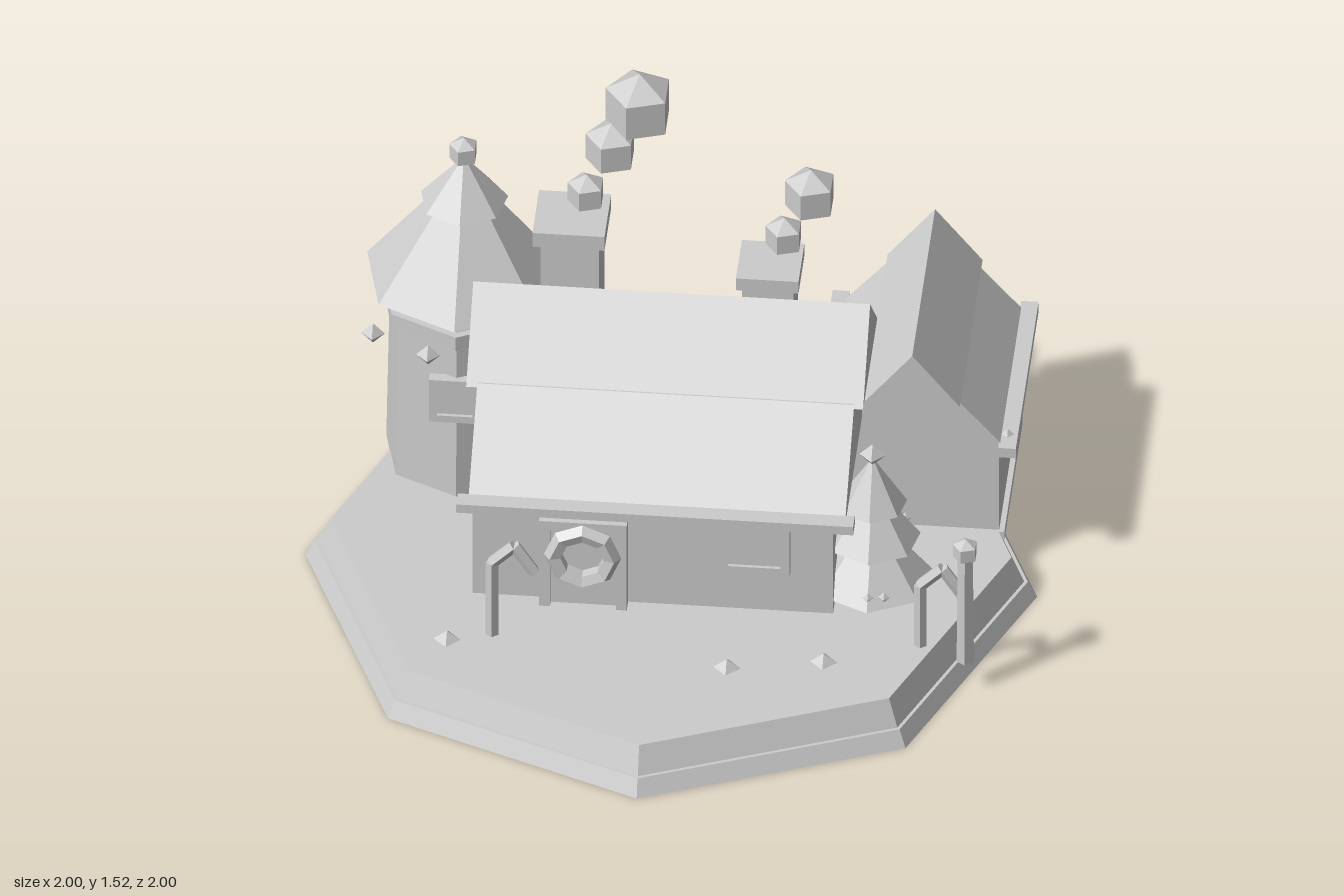
import * as THREE from 'three';

export function createModel() {
  const model = new THREE.Group();
  const clay = new THREE.MeshStandardMaterial({ color: 0xcccccc, flatShading: true });
  clay.name = 'light grey';

  const add = (name, geometry, x = 0, y = 0, z = 0) => {
    const mesh = new THREE.Mesh(geometry, clay);
    mesh.name = name;
    mesh.position.set(x, y, z);
    model.add(mesh);
    return mesh;
  };
  // Box from its lowest to its highest corner
  const box = (name, x0, x1, y0, y1, z0, z1) =>
    add(name, new THREE.BoxGeometry(x1 - x0, y1 - y0, z1 - z0), (x0 + x1) / 2, (y0 + y1) / 2, (z0 + z1) / 2);
  // Upright frustum from y0 to y1
  const frustum = (name, x, z, y0, y1, rBottom, rTop, sides) =>
    add(name, new THREE.CylinderGeometry(rTop, rBottom, y1 - y0, sides), x, (y0 + y1) / 2, z);
  const ball = (name, x, y, z, r) => add(name, new THREE.SphereGeometry(r, 5, 3), x, y, z);
  const bulb = (name, x, y, z, r = 0.033) => add(name, new THREE.SphereGeometry(r, 4, 2), x, y, z);
  // Symmetric roof section of [half width, height] points, extruded along its ridge
  const roof = (name, half, from, to, centre, alongX) => {
    const outline = [...half, ...half.filter(p => p[0] > 0).reverse().map(([w, h]) => [-w, h])];
    const shape = new THREE.Shape(outline.map(p => new THREE.Vector2(...p)));
    const geo = new THREE.ExtrudeGeometry(shape, { depth: to - from, bevelEnabled: false });
    if (alongX) geo.rotateY(Math.PI / 2);
    return add(name, geo, alongX ? from : centre, 0, alongX ? centre : from);
  };
  // Straight rod between two points
  const rod = (name, a, b, r) => {
    const p = new THREE.Vector3(...a), q = new THREE.Vector3(...b);
    const mesh = add(name, new THREE.CylinderGeometry(r, r, p.distanceTo(q), 5));
    mesh.position.copy(p).lerp(q, 0.5);
    mesh.quaternion.setFromUnitVectors(new THREE.Vector3(0, 1, 0), q.sub(p).normalize());
  };

  // Octagonal ground
  frustum('groundLower', 0, 0, 0, 0.05, 1, 0.975, 8);
  frustum('groundUpper', 0, 0, 0.05, 0.13, 0.965, 0.93, 8);

  // Main house
  box('houseWalls', -0.515, 0.47, 0.12, 0.54, -0.375, 0.295);
  roof('houseRoofLower', [[0.45, 0.53], [0.45, 0.55], [0.2, 0.745]], -0.515, 0.515, -0.04, true);
  roof('houseRoofUpper', [[0.205, 0.735], [0, 0.94]], -0.545, 0.54, -0.04, true);
  box('frontEave', -0.545, 0.54, 0.525, 0.553, 0.405, 0.455);
  box('backEave', -0.545, 0.505, 0.525, 0.553, -0.54, -0.485);

  // Side annex with its ridge running front to back
  box('annexFloor', 0.41, 0.9, 0.1, 0.13, -0.64, -0.11);
  box('annexWalls', 0.43, 0.885, 0.12, 0.45, -0.63, -0.12);
  roof('annexRoofLower', [[0.24, 0.45], [0.24, 0.47], [0.12, 0.61]], -0.67, -0.065, 0.655, false);
  roof('annexRoofUpper', [[0.13, 0.605], [0, 0.77]], -0.7, -0.04, 0.655, false);
  for (const x of [0.375, 0.89]) box('annexEave', x, x + 0.048, 0.44, 0.472, -0.7, -0.04);

  // Chimneys with capstones
  box('chimneyLeft', -0.37, -0.21, 0.6, 1.02, -0.29, -0.13);
  box('chimneyLeftCap', -0.39, -0.193, 1.015, 1.062, -0.305, -0.112);
  box('chimneyRight', 0.185, 0.325, 0.6, 0.94, -0.228, -0.09);
  box('chimneyRightCap', 0.17, 0.341, 0.937, 0.977, -0.245, -0.072);

  // Smoke puffs
  for (const p of [
    [-0.25, 1.145, -0.2, 0.06], [-0.185, 1.285, -0.225, 0.082], [-0.11, 1.415, -0.25, 0.107],
    [0.295, 1.07, -0.155, 0.06], [0.365, 1.2, -0.178, 0.082],
  ]) ball('smokePuff', ...p);

  // Seven-sided tower
  frustum('towerWall', -0.6, -0.35, 0.12, 0.74, 0.222, 0.21, 7);
  frustum('towerRing', -0.6, -0.35, 0.64, 0.685, 0.235, 0.235, 7);
  frustum('towerRoofLower', -0.6, -0.35, 0.735, 1.0, 0.277, 0.075, 7);
  frustum('towerRoofUpper', -0.6, -0.35, 0.98, 1.11, 0.122, 0.015, 7);
  ball('towerFinial', -0.6, 1.145, -0.35, 0.046);

  // Door between jambs
  box('door', -0.3, -0.12, 0.13, 0.4, 0.28, 0.315);
  for (const x of [-0.33, -0.12]) box('doorJamb', x, x + 0.03, 0.13, 0.42, 0.28, 0.335);
  box('doorLintel', -0.33, -0.09, 0.39, 0.42, 0.28, 0.335);
  add('wreath', new THREE.TorusGeometry(0.08, 0.026, 5, 8), -0.21, 0.315, 0.345);

  // Windows with raised frames
  const framedWindow = (name, x, y, z, half, rim) => {
    box(name + 'Pane', x - half, x + half, y - half, y + half, z - 0.03, z - 0.01);
    for (const s of [-1, 1]) {
      const o = s * (half - rim / 2), h = rim / 2;
      box(name + 'Frame', x + o - h, x + o + h, y - half, y + half, z - 0.03, z);
      box(name + 'Frame', x - half + rim, x + half - rim, y + o - h, y + o + h, z - 0.03, z);
    }
  };
  framedWindow('houseWindow', 0.257, 0.363, 0.32, 0.097, 0.025);
  framedWindow('towerWindow', -0.603, 0.46, -0.12, 0.071, 0.022);

  // Bulbs under the eave, the tower ring and the annex
  for (let i = 0; i < 6; i++) bulb('eaveBulb', -0.465 + i * 0.186, i % 2 ? 0.505 : 0.525, 0.325);
  bulb('towerBulb', -0.83, 0.655, -0.155);
  bulb('towerBulb', -0.675, 0.625, -0.11);
  bulb('annexBulb', 0.91, 0.46, -0.105, 0.03);

  // Conifer with ornaments and a top bauble
  const tx = 0.565, tz = 0.155;
  frustum('treeTrunk', tx, tz, 0.12, 0.18, 0.035, 0.03, 7);
  [[0.16, 0.17, 0.21], [0.295, 0.132, 0.18], [0.41, 0.095, 0.155]].forEach(([y, r, h]) =>
    add('treeTier', new THREE.ConeGeometry(r, h, 7), tx, y + h / 2, tz));
  bulb('treeTopper', tx, 0.575, tz, 0.036);
  for (let i = 0; i < 6; i++) {
    const a = i * 2.2, tier = i % 3;
    bulb('treeOrnament', tx + Math.sin(a) * (0.14 - tier * 0.035), 0.19 + tier * 0.13,
      tz + Math.cos(a) * (0.14 - tier * 0.035), 0.016);
  }

  // Bent canes
  const cane = (x, z, top) => {
    const pts = [[x, 0.13, z], [x, top - 0.06, z], [x + 0.06, top, z], [x + 0.115, top - 0.085, z]];
    for (let i = 0; i < 3; i++) rod('cane', pts[i], pts[i + 1], 0.018);
  };
  cane(-0.445, 0.47, 0.435);
  cane(0.72, 0.41, 0.395);

  // Lamp post
  frustum('lampPost', 0.845, 0.43, 0.1, 0.46, 0.025, 0.022, 5);
  ball('lampGlobe', 0.845, 0.475, 0.43, 0.04);

  // Small stones on the ground
  for (const [x, z] of [[-0.565, 0.51], [0.205, 0.565], [0.465, 0.515]])
    bulb('stone', x, 0.132, z, 0.037).scale.y = 0.75;

  return model;
}
